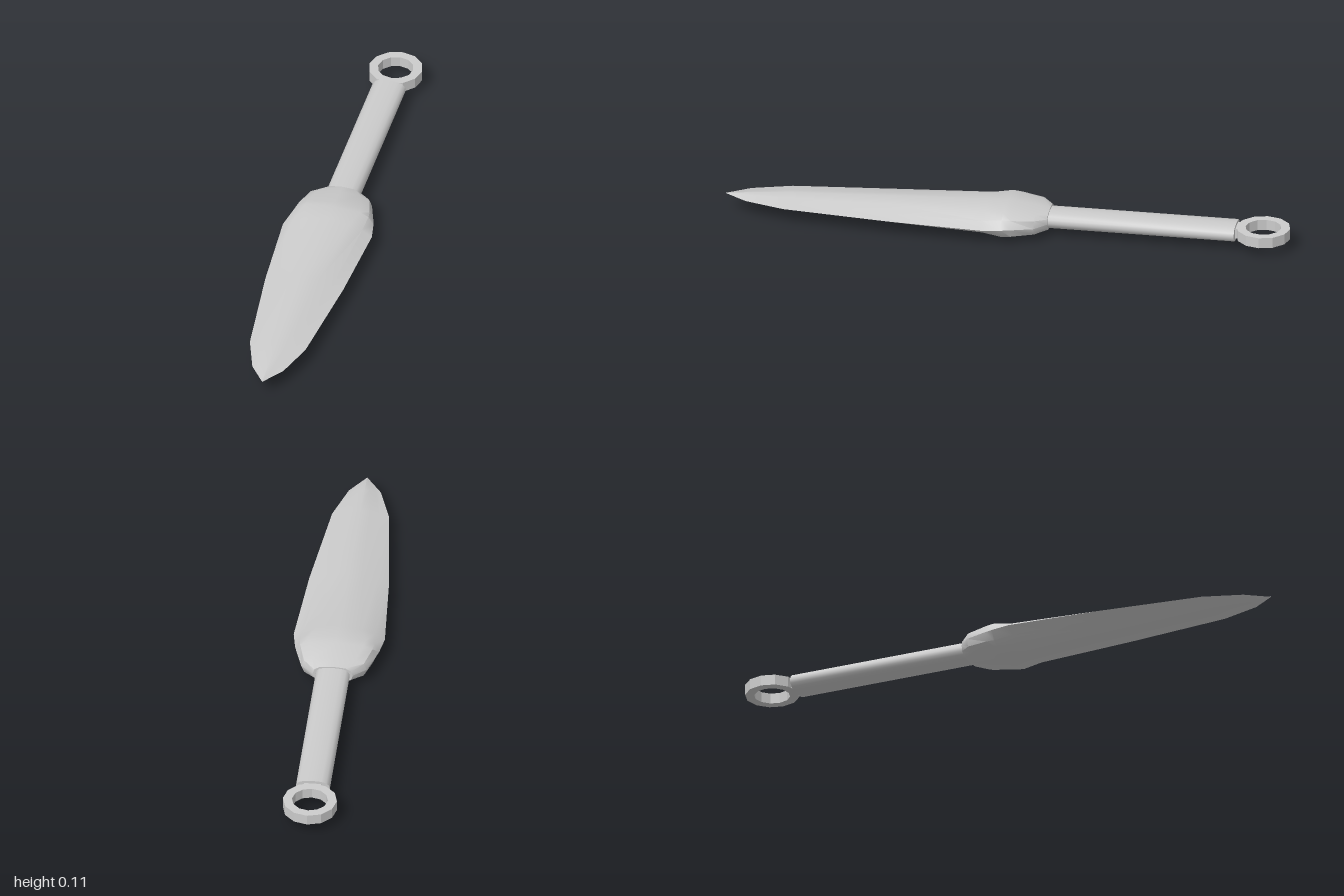
import * as THREE from 'three';
import { toCreasedNormals } from 'three/addons/utils/BufferGeometryUtils.js';

const MID = 0.055; // height of the symmetry plane

// Mirrors a quarter outline (side edge to top ridge) into a closed loop.
function fullLoop(q) {
  const left = q.slice(0, -1).reverse().map(([x, y]) => [-x, y]);
  const top = [...q, ...left];
  const bottom = top.slice(1, -1).reverse().map(([x, y]) => [x, -y]);
  return [...top, ...bottom];
}

// Skins a list of { z, q } stations ordered by rising z, with capped ends.
function loft(stations, crease) {
  const pos = [], idx = [];
  let n = 0;
  for (const { z, q } of stations) {
    const loop = fullLoop(q);
    n = loop.length;
    for (const [x, y] of loop) pos.push(x, y + MID, z);
  }
  const last = stations.length - 1;
  const c0 = pos.length / 3;
  pos.push(0, MID, stations[0].z, 0, MID, stations[last].z);
  for (let j = 0; j < n; j++) {
    const k = (j + 1) % n;
    for (let i = 0; i < last; i++) {
      const a = i * n + j, b = i * n + k, c = b + n, d = a + n;
      idx.push(a, b, c, a, c, d);
    }
    idx.push(c0, k, j, c0 + 1, last * n + j, last * n + k);
  }
  const g = new THREE.BufferGeometry();
  g.setAttribute('position', new THREE.Float32BufferAttribute(pos, 3));
  g.setIndex(idx);
  return toCreasedNormals(g, crease);
}

export function createModel() {
  const group = new THREE.Group();
  const material = new THREE.MeshStandardMaterial({ color: 0xcccccc });
  const add = (name, geometry) => {
    const mesh = new THREE.Mesh(geometry, material);
    mesh.name = name;
    group.add(mesh);
    return mesh;
  };

  // Blade: rounded shoulder turning into a flat diamond that runs to a point.
  // z, half width, outer x, y, inner x, y, half thickness
  const blade = [
    [-0.15, 0.07, 0.065, 0.018, 0.045, 0.03, 0.034],
    [-0.11, 0.115, 0.105, 0.025, 0.075, 0.036, 0.042],
    [-0.03, 0.14, 0.127, 0.03, 0.095, 0.043, 0.052],
    [0.0, 0.148, 0.13, 0.032, 0.1, 0.046, 0.055],
    [0.07, 0.16, 0.125, 0.022, 0.08, 0.039, 0.052],
    [0.4, 0.14, 0.1, 0.012, 0.05, 0.026, 0.037],
    [0.78, 0.1, 0.066, 0.007, 0.033, 0.014, 0.02],
    [0.92, 0.056, 0.037, 0.003, 0.018, 0.006, 0.009],
    [1.0, 0.001, 0.0007, 0.0003, 0.0003, 0.0007, 0.001],
  ].map(([z, w, x1, y1, x2, y2, h]) => ({ z, q: [[w, 0], [x1, y1], [x2, y2], [0, h]] }));
  add('blade', loft(blade, 0.75));

  // Handle: flattened round grip.
  const grip = [[0.06, 0], [0.057, 0.012], [0.047, 0.022], [0.03, 0.027], [0, 0.029]];
  add('handle', loft([{ z: -0.81, q: grip }, { z: -0.13, q: grip }], 0.8));

  // Pommel ring: twelve-sided flat ring lying level.
  const outline = (r) => Array.from({ length: 12 }, (_, i) => {
    const a = (i * Math.PI) / 6;
    return new THREE.Vector2(Math.cos(a) * r, Math.sin(a) * r);
  });
  const ringShape = new THREE.Shape(outline(0.095));
  ringShape.holes.push(new THREE.Path(outline(0.063)));
  const ringGeo = new THREE.ExtrudeGeometry(ringShape, { depth: 0.038, bevelEnabled: false });
  ringGeo.rotateX(-Math.PI / 2);
  const ring = add('pommelRing', toCreasedNormals(ringGeo, 0.4));
  ring.position.set(0, MID - 0.019, -0.905);

  // Small tang joining the ring to the handle.
  const tang = add('ringTang', new THREE.BoxGeometry(0.06, 0.036, 0.025));
  tang.position.set(0, MID, -0.817);

  return group;
}
